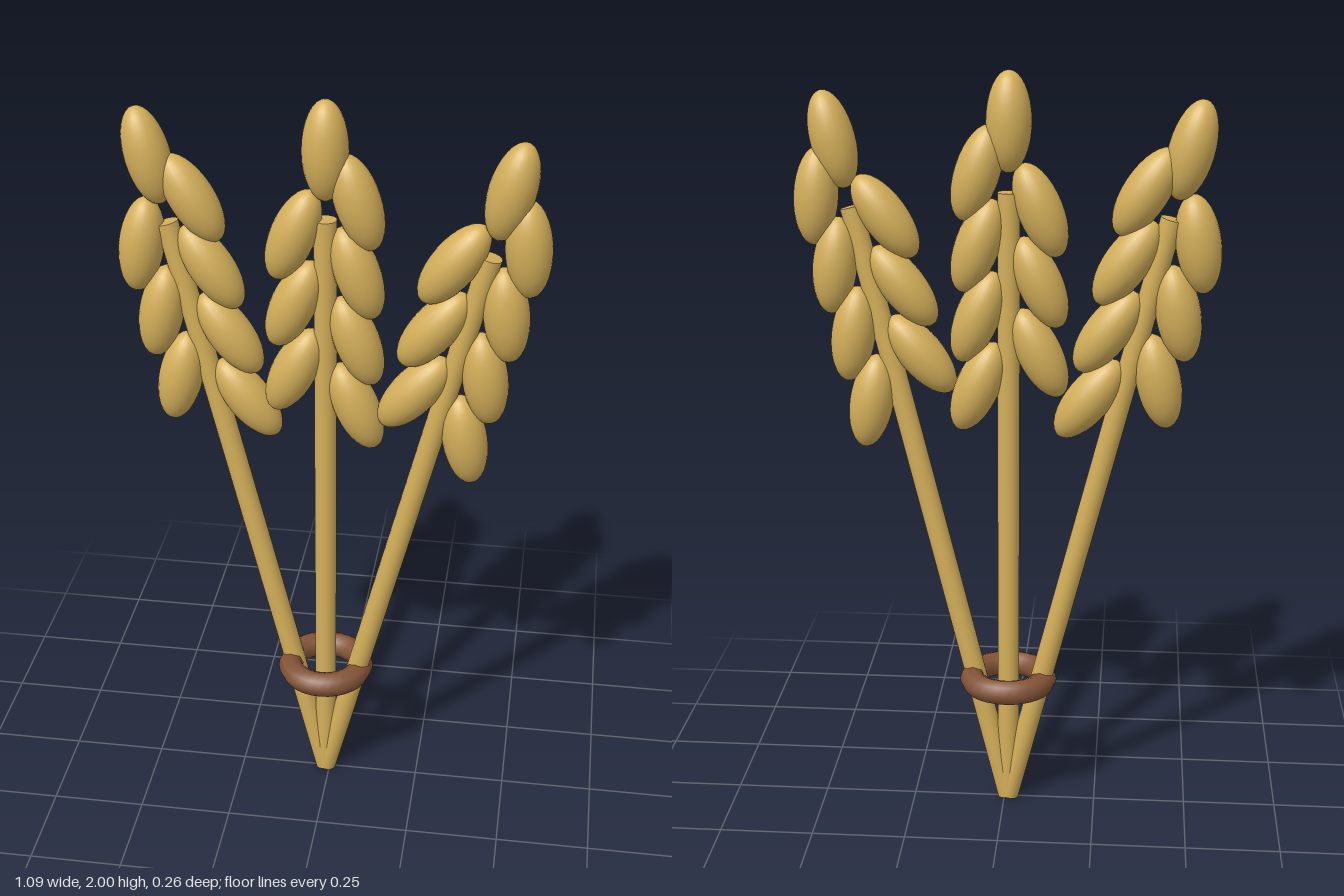
import * as THREE from 'three';

export function createModel() {
  const model = new THREE.Group();
  model.name = 'wheatBundle';

  const gold = new THREE.MeshStandardMaterial({ color: 0xd4af5a });
  gold.name = 'wheat gold';
  const brown = new THREE.MeshStandardMaterial({ color: 0x845438 });
  brown.name = 'cord brown';

  const stemGeometry = new THREE.CylinderGeometry(0.029, 0.029, 1.69, 20).translate(0, 0.845, 0);
  const grainGeometry = new THREE.SphereGeometry(1, 24, 16).scale(0.058, 0.127, 0.058);

  function addGrain(stalk, name, x, y, tilt) {
    const grain = new THREE.Mesh(grainGeometry, gold);
    grain.name = name;
    grain.position.set(x, y, 0);
    grain.rotation.z = tilt;
    stalk.add(grain);
  }

  // One stalk: a straight stem, alternating side grains and a grain at the tip
  function makeStalk(name, leanX, leanZ) {
    const stalk = new THREE.Group();
    stalk.name = name;
    const stem = new THREE.Mesh(stemGeometry, gold);
    stem.name = 'stem';
    stalk.add(stem);
    for (let i = 0; i < 7; i++) {
      const side = i % 2 === 0 ? 1 : -1;
      const tilt = (side > 0 ? 0.41 : 0.47) - 0.016 * i;
      addGrain(stalk, side > 0 ? 'leftGrain' : 'rightGrain', side * 0.08, 1.183 + 0.0925 * i, side * tilt);
    }
    addGrain(stalk, 'tipGrain', 0, 1.866, 0);
    stalk.rotation.set(leanX, 0, leanZ);
    stalk.position.set(-0.011, 0.007, 0);
    return stalk;
  }

  // Three stalks fanned out from a shared foot
  model.add(
    makeStalk('centreStalk', 0, 0),
    makeStalk('leftStalk', 0.033, -0.245),
    makeStalk('rightStalk', -0.033, 0.245)
  );

  // Cord ring tied around the stems
  const ring = new THREE.Mesh(new THREE.TorusGeometry(0.098, 0.034, 8, 32), brown);
  ring.name = 'cordRing';
  ring.rotation.x = Math.PI / 2;
  ring.position.set(-0.011, 0.362, 0);
  model.add(ring);

  return model;
}
